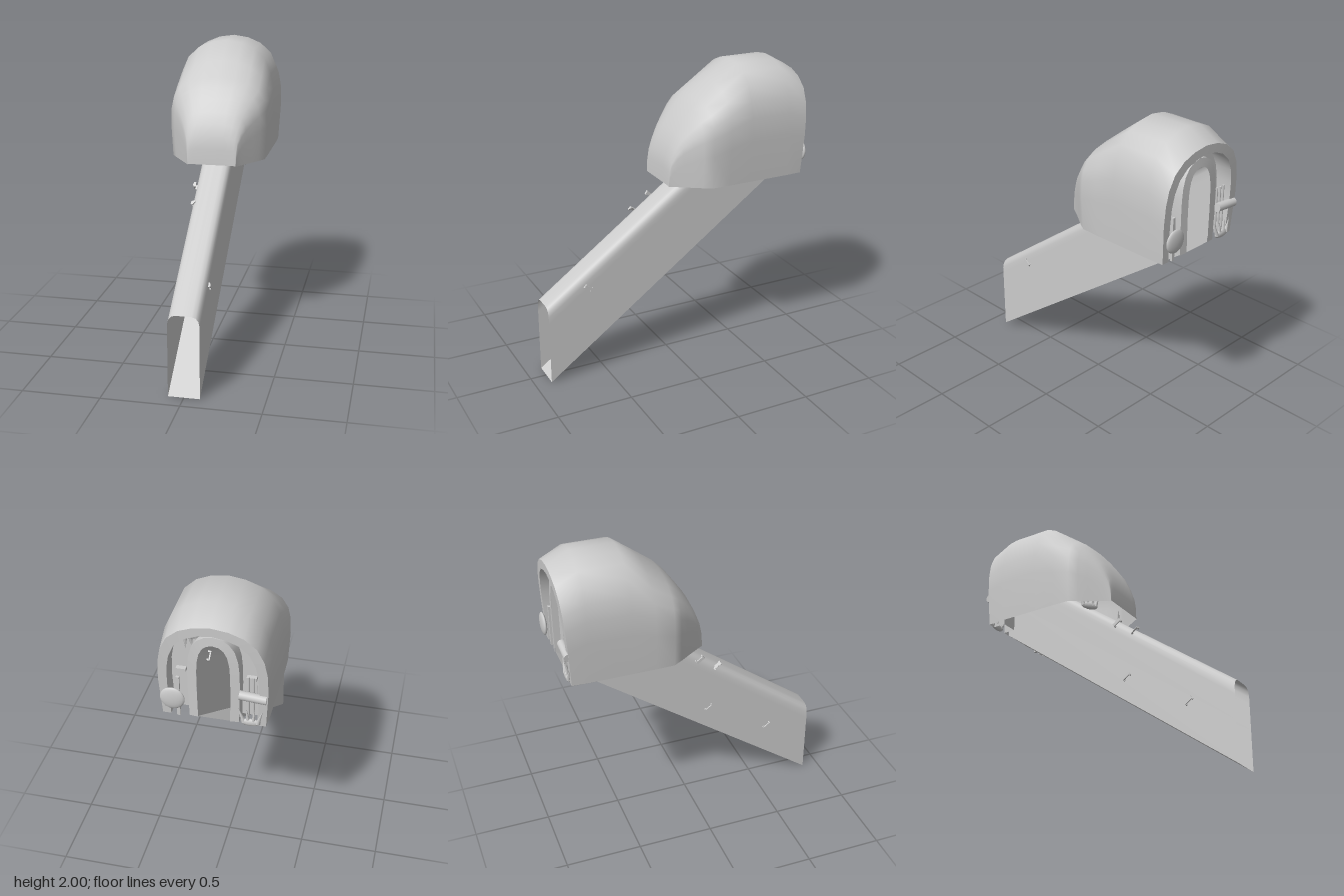
import * as THREE from 'three';

const BASE = 1.25; // height of the hood's lower edge
// Half outlines (x fraction, y fraction), from the foot to the crown
const DOME = [[0.955, 0], [1, 0.38], [0.985, 0.57], [0.93, 0.71], [0.8, 0.84], [0.58, 0.93], [0.31, 0.98], [0, 1]];
const DOOR = [[1, 0], [1, 0.5], [1, 0.8], [1, 0.89], [0.92, 0.95], [0.75, 0.985], [0.5, 1], [0, 1]];

const material = new THREE.MeshStandardMaterial({ color: 0xcccccc, side: THREE.DoubleSide });

// Arch-shaped ring; blend 0 = dome outline, 1 = doorway outline; tilt leans it backwards
function arch(z, base, top, width, blend = 0, tilt = 0) {
  const half = DOME.map(([x, y], i) => {
    const fx = x + (DOOR[i][0] - x) * blend;
    const fy = y + (DOOR[i][1] - y) * blend;
    return new THREE.Vector3(fx * width, base + fy * (top - base), z - tilt * fy);
  });
  const mirrored = half.slice(0, -1).reverse().map(p => new THREE.Vector3(-p.x, p.y, p.z));
  return half.concat(mirrored);
}

// Skin joining rings, listed front to back
function loft(rings) {
  const n = rings[0].length;
  const index = [];
  for (let i = 0; i < rings.length - 1; i++) {
    for (let j = 0; j < n - 1; j++) {
      const a = i * n + j, b = a + n;
      index.push(a, b, a + 1, b, b + 1, a + 1);
    }
  }
  const g = new THREE.BufferGeometry().setFromPoints(rings.flat());
  g.setIndex(index);
  g.computeVertexNormals();
  return g;
}

function add(parent, name, geometry, x = 0, y = 0, z = 0) {
  const mesh = new THREE.Mesh(geometry, material);
  mesh.name = name;
  mesh.position.set(x, y, z);
  parent.add(mesh);
  return mesh;
}

// Small staple-shaped handle standing out along +x
function bracket(parent, x, y, z, turn = 0) {
  const g = new THREE.Group();
  g.name = 'bracket';
  add(g, 'bracketBar', new THREE.BoxGeometry(0.008, 0.02, 0.06), 0.01);
  for (const s of [-1, 1]) add(g, 'bracketLeg', new THREE.BoxGeometry(0.014, 0.03, 0.01), 0.002, 0, s * 0.026);
  g.position.set(x, y, z);
  g.rotation.set(-0.63, 0, turn);
  parent.add(g);
}

// Palm with a fan of tapering fingers
function claw(parent, x, y, z, yaw = 0, roll = 0) {
  const g = new THREE.Group();
  g.name = 'claw';
  const palm = add(g, 'palm', new THREE.SphereGeometry(0.05, 12, 8));
  palm.scale.set(1.2, 0.5, 0.3);
  for (let i = 0; i < 4; i++) {
    const a = (i - 1.5) * 0.3;
    const finger = add(g, 'finger', new THREE.ConeGeometry(0.015, 0.1, 7), Math.sin(a) * 0.13, 0.045, 0);
    finger.rotation.z = -a * 0.7;
  }
  g.position.set(x, y, z);
  g.rotation.set(0, yaw, roll);
  parent.add(g);
}

export function createModel() {
  const model = new THREE.Group();
  model.name = 'hoodedChute';

  // Hood, open underneath: [z, crown height, half width, squareness]
  const sections = [
    [0.06, 1.255, 0.16, 0.8], [0.056, 1.36, 0.164, 0.7], [0.043, 1.44, 0.172, 0.6], [0.016, 1.515, 0.19, 0.5],
    [-0.02, 1.59, 0.215, 0.4], [-0.075, 1.67, 0.254, 0.3], [-0.125, 1.735, 0.29, 0.22], [-0.18, 1.79, 0.325, 0.15],
    [-0.3, 1.885, 0.33, 0.05], [-0.45, 2, 0.33, 0], [-0.73, 2, 0.33, 0],
  ];
  const tilt = 0.035;
  const back = arch(-0.84, BASE, 1.92, 0.325, 0, tilt);
  add(model, 'hood', loft([...sections.map(([z, h, w, b]) => arch(z, BASE, h, w, b)), back]));

  // Stepped back: rim, recess and round-topped doorway frame
  const rim = arch(-0.84, BASE, 1.865, 0.272, 0, tilt);
  const recess = arch(-0.75, BASE, 1.865, 0.272);
  const frameFoot = arch(-0.75, BASE, 1.83, 0.155, 0.15);
  const frameEdge = arch(-0.835, BASE, 1.83, 0.155, 0.15);
  const door = arch(-0.84, BASE, 1.775, 0.1, 0.25);
  add(model, 'backRim', loft([back, rim]));
  add(model, 'recessSide', loft([rim, recess]));
  add(model, 'recessWall', loft([recess, frameFoot]));
  add(model, 'doorFrameSide', loft([frameFoot, frameEdge]));
  add(model, 'doorFrame', loft([frameEdge, door]));

  // Hollow sloping chute, open at both ends
  const mouth = arch(0.89, 0, 0.535, 0.1, 1);
  const chuteEnd = arch(-0.835, BASE, 1.79, 0.1, 1);
  add(model, 'chuteWalls', loft([mouth, chuteEnd]));
  add(model, 'chuteFloor', loft([mouth, chuteEnd].map(r => [r[r.length - 1], r[0]])));

  // Brackets on the chute and in the doorway
  bracket(model, -0.1, 0.45, 0.58, Math.PI);
  bracket(model, -0.1, 0.71, 0.14, Math.PI);
  bracket(model, -0.1, 1.11, 0.07, Math.PI);
  bracket(model, -0.085, 1.025, 0.2, 2.4);
  bracket(model, 0.1, 0.63, 0.61);
  bracket(model, 0.09, 1.52, -0.6, Math.PI);

  for (const s of [-1, 1]) {
    add(model, 'recessRung', new THREE.BoxGeometry(0.06, 0.02, 0.03), s * 0.21, 1.53, -0.765);
    // Claws inside the front of the hood, just showing below its edge
    claw(model, s * 0.18, 1.25, -0.1, s * 0.6);
  }

  // Round knob with hanging strap
  const knob = add(model, 'knob', new THREE.SphereGeometry(0.075, 20, 12), 0.24, 1.39, -0.87);
  knob.scale.z = 0.25;
  add(model, 'strap', new THREE.BoxGeometry(0.02, 0.28, 0.015), 0.215, 1.38, -0.83);

  // Tilted roller with rods behind it
  const roller = add(model, 'roller', new THREE.CylinderGeometry(0.028, 0.028, 0.16, 16), -0.235, 1.46, -0.85);
  roller.rotation.z = Math.PI / 2 + 0.08;
  for (const x of [-0.2, -0.23, -0.26]) {
    add(model, 'rod', new THREE.CylinderGeometry(0.007, 0.007, 0.3, 8), x, 1.42, -0.81);
  }

  // Claws at the foot and the crown of the recess
  claw(model, -0.22, 1.27, -0.845);
  claw(model, 0.13, 1.8, -0.79, 0, Math.PI - 0.3);

  return model;
}
